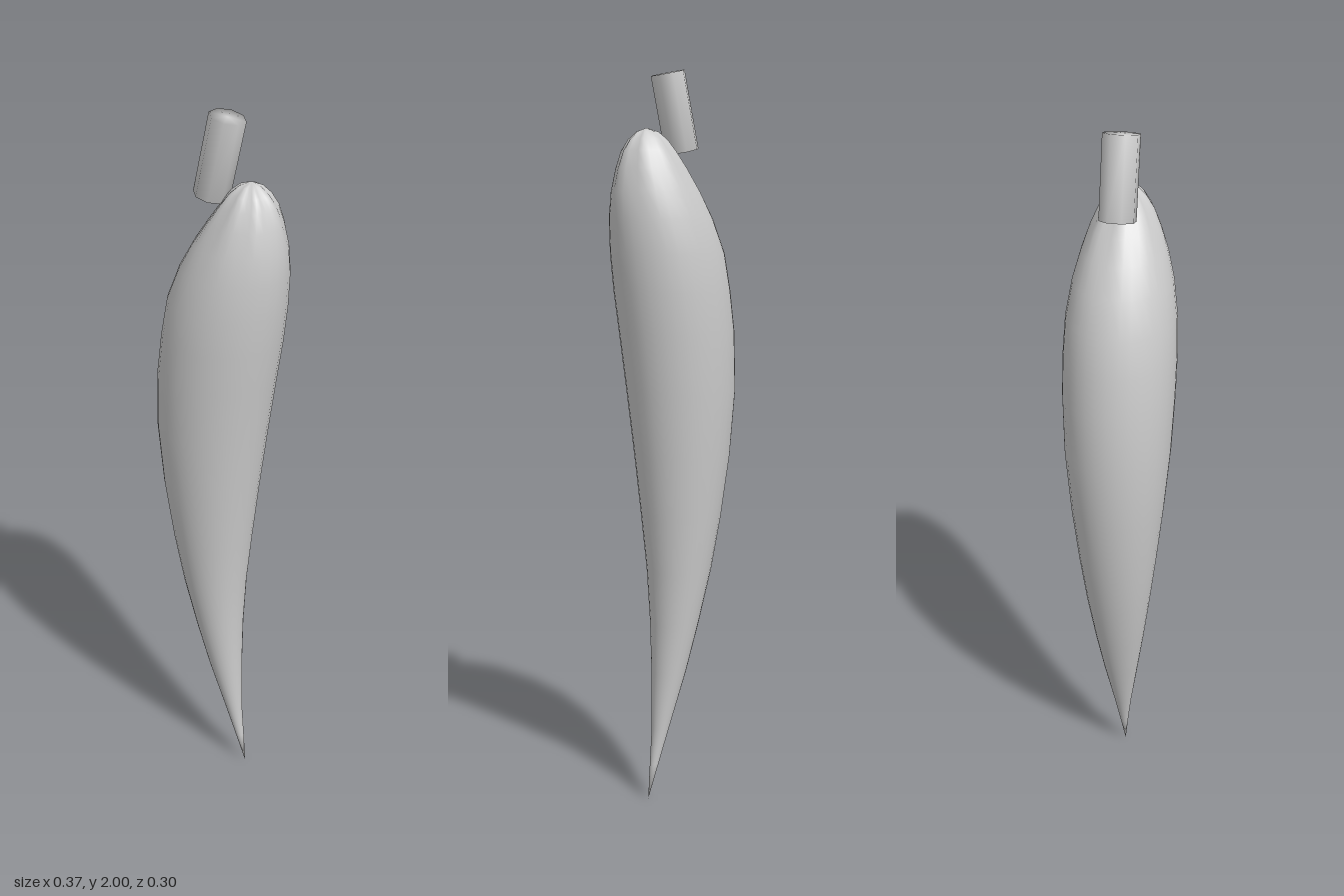
import * as THREE from 'three';
import { mergeVertices } from 'three/addons/utils/BufferGeometryUtils.js';

const SIDES = 32;

// Weld vertices so that shading runs smoothly over the whole surface
function smooth(geometry) {
  geometry.deleteAttribute('normal');
  geometry.deleteAttribute('uv');
  const welded = mergeVertices(geometry, 1e-5);
  welded.computeVertexNormals();
  return welded;
}

// Horizontal sections of the pod: height, right edge x, left edge x, half depth, pucker
const SECTIONS = [
  [0, 0.085, 0.085, 0, 0],
  [0.1, 0.051, 0.076, 0.012, 0],
  [0.2, 0.018, 0.066, 0.025, 0],
  [0.36, -0.035, 0.06, 0.05, 0],
  [0.5, -0.074, 0.059, 0.071, 0],
  [0.65, -0.113, 0.066, 0.091, 0],
  [0.8, -0.143, 0.081, 0.109, 0],
  [0.97, -0.169, 0.1, 0.127, 0],
  [1.15, -0.184, 0.123, 0.142, 0],
  [1.31, -0.178, 0.146, 0.148, 0],
  [1.42, -0.163, 0.163, 0.148, 0],
  [1.52, -0.144, 0.175, 0.143, 0],
  [1.61, -0.107, 0.181, 0.129, 0],
  [1.68, -0.068, 0.178, 0.11, 0.01],
  [1.74, -0.027, 0.166, 0.088, 0.03],
  [1.785, 0.006, 0.151, 0.067, 0.05],
  [1.815, 0.03, 0.132, 0.046, 0.08],
  [1.835, 0.055, 0.11, 0.025, 0.12],
  [1.845, 0.085, 0.085, 0, 0],
];

function podGeometry() {
  const positions = [];
  const indices = [];
  SECTIONS.forEach(([y, x0, x1, depth, pucker], row) => {
    for (let i = 0; i < SIDES; i++) {
      const a = (i / SIDES) * Math.PI * 2;
      const fold = 1 + pucker * Math.cos(a * 8);
      positions.push(
        (x0 + x1) / 2 + ((x1 - x0) / 2) * Math.cos(a) * fold,
        y,
        depth * Math.sin(a) * fold
      );
      if (row === SECTIONS.length - 1) continue;
      const p = row * SIDES + i;
      const q = row * SIDES + ((i + 1) % SIDES);
      if (row < SECTIONS.length - 2) indices.push(p, p + SIDES, q + SIDES);
      if (row > 0) indices.push(p, q + SIDES, q);
    }
  });
  // The last band closes onto the crown
  const last = (SECTIONS.length - 2) * SIDES;
  for (let i = 0; i < SIDES; i++) {
    indices.push(last + i, last + SIDES, last + ((i + 1) % SIDES));
  }
  const geometry = new THREE.BufferGeometry();
  geometry.setAttribute('position', new THREE.Float32BufferAttribute(positions, 3));
  geometry.setIndex(indices);
  return smooth(geometry);
}

export function createModel() {
  const grey = new THREE.MeshStandardMaterial({ color: 0xcccccc });
  grey.name = 'plain grey';
  const model = new THREE.Group();
  model.name = 'chilliPepper';

  // Curved, tapering pod
  const pod = new THREE.Mesh(podGeometry(), grey);
  pod.name = 'pod';
  model.add(pod);

  // Eight-sided stalk, leaning beside the crown
  const stalkShape = new THREE.CylinderGeometry(0.047, 0.047, 0.207, 8).rotateY(Math.PI / 8);
  const stalk = new THREE.Mesh(smooth(stalkShape), grey);
  stalk.name = 'stalk';
  stalk.position.set(-0.009, 1.889, 0);
  stalk.rotation.z = -0.23;
  model.add(stalk);

  return model;
}
